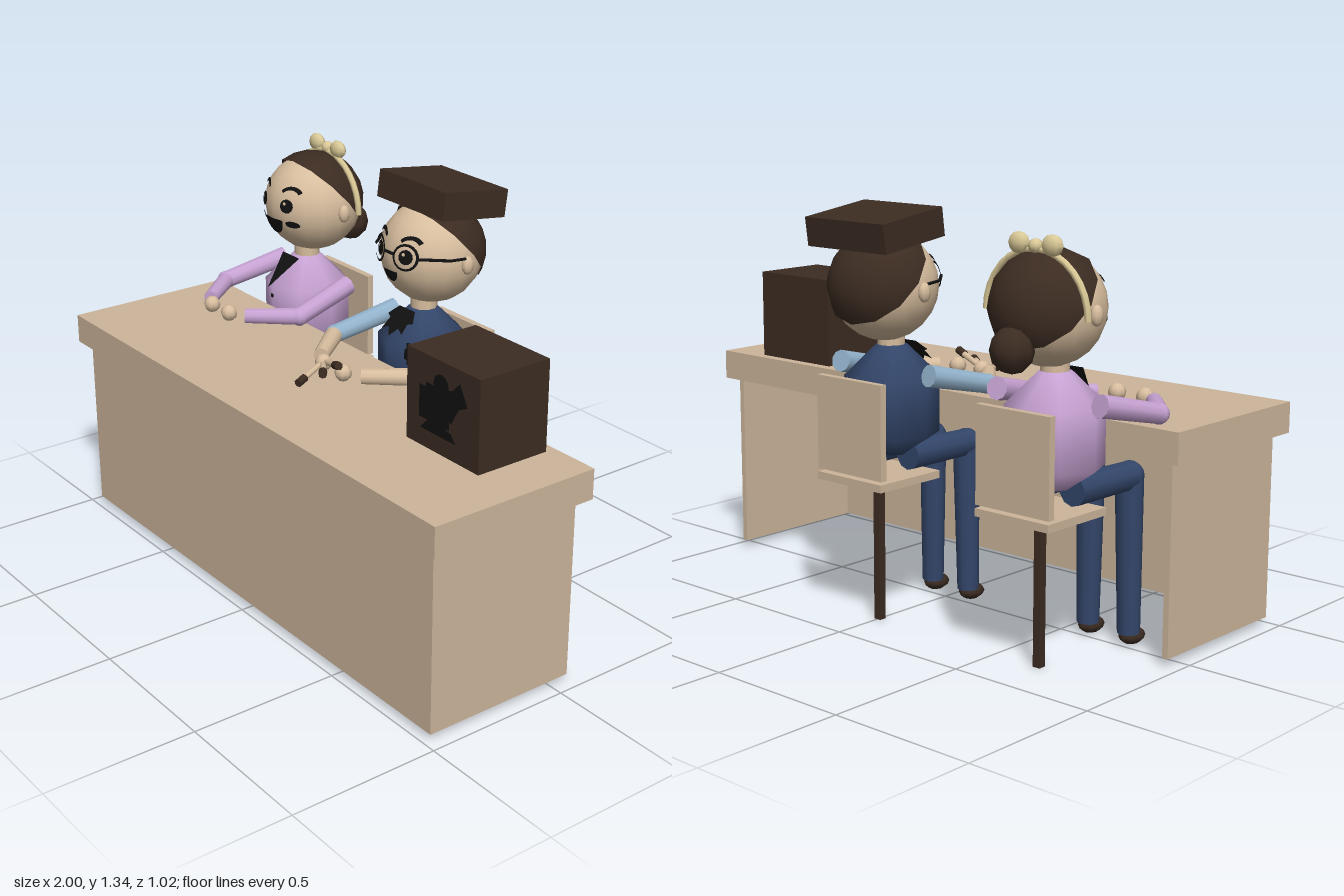
import * as THREE from 'three';

const mat = (name, color, side = THREE.FrontSide) => new THREE.MeshStandardMaterial({ name, color, side });
const wood = mat('wood', 0xcdb69b);
const skin = mat('skin', 0xd8be9f);
const brown = mat('darkBrown', 0x3c2c22, THREE.DoubleSide);
const navy = mat('navy', 0x33466a);
const blue = mat('lightBlue', 0x93b3cc);
const lavender = mat('lavender', 0xc6a2d2);
const yellow = mat('paleYellow', 0xdccb98);
const black = mat('black', 0x111111, THREE.DoubleSide);

const V = (x, y, z) => new THREE.Vector3(x, y, z);
const HEAD = V(0, 1.09, -0.285), HEAD_R = 0.173;

function add(parent, name, geometry, material, x = 0, y = 0, z = 0) {
  const m = new THREE.Mesh(geometry, material);
  m.name = name;
  m.position.set(x, y, z);
  parent.add(m);
  return m;
}

// box given by its limits on each axis
function block(parent, name, material, [x0, x1], [y0, y1], [z0, z1]) {
  return add(parent, name, new THREE.BoxGeometry(x1 - x0, y1 - y0, z1 - z0), material,
    (x0 + x1) / 2, (y0 + y1) / 2, (z0 + z1) / 2);
}

// cylinder between two points
function rod(parent, name, material, a, b, r0, r1 = r0, sides = 10) {
  const m = add(parent, name, new THREE.CylinderGeometry(r1, r0, a.distanceTo(b), sides), material);
  m.position.copy(a).lerp(b, 0.5);
  m.quaternion.setFromUnitVectors(V(0, 1, 0), b.clone().sub(a).normalize());
  return m;
}

function ball(parent, name, material, p, r, scale = [1, 1, 1], w = 10, h = 8) {
  const m = add(parent, name, new THREE.SphereGeometry(r, w, h), material, p.x, p.y, p.z);
  m.scale.set(...scale);
  return m;
}

// flat geometry wrapped onto the front of the head
function faceMark(parent, name, geometry, material, x, y, lift = 0.005, sx = 1, sy = 1) {
  geometry.scale(sx, sy, 1).translate(x, y, 0);
  const p = geometry.attributes.position, R = HEAD_R + lift;
  for (let i = 0; i < p.count; i++) {
    p.setZ(i, Math.sqrt(Math.max(0, R * R - p.getX(i) ** 2 - p.getY(i) ** 2)));
  }
  geometry.computeVertexNormals();
  return add(parent, name, geometry, material, HEAD.x, HEAD.y, HEAD.z);
}

const polygon = (pts) => new THREE.ShapeGeometry(new THREE.Shape(pts.map(([x, y]) => new THREE.Vector2(x, y))));

function desk() {
  const g = new THREE.Group();
  g.name = 'desk';
  block(g, 'deskTop', wood, [-1, 1], [0.635, 0.735], [-0.09, 0.51]);
  block(g, 'frontPanel', wood, [-0.96, 0.96], [0.025, 0.635], [0.46, 0.48]);
  for (const s of [-1, 1]) {
    block(g, 'sidePanel', wood, s < 0 ? [-0.96, -0.94] : [0.94, 0.96], [0.025, 0.635], [-0.06, 0.46]);
  }
  return g;
}

// box with a film camera pictogram on its front
function cameraBox() {
  const g = new THREE.Group();
  g.name = 'cameraBox';
  block(g, 'box', brown, [0.497, 0.83], [0.735, 1.035], [-0.055, 0.21]);
  const mark = (name, geo, x = 0, y = 0) => add(g, name, geo, black, x, y, 0.214);
  mark('cameraBody', polygon([[0.56, 0.83], [0.7, 0.83], [0.7, 0.95], [0.59, 0.95], [0.59, 0.935], [0.56, 0.935]]));
  mark('cameraReel', new THREE.CircleGeometry(0.035, 12), 0.66, 0.96);
  mark('cameraLens', polygon([[0.66, 0.87], [0.71, 0.855], [0.74, 0.91], [0.78, 0.93], [0.745, 0.995], [0.71, 0.96], [0.66, 0.95]]));
  mark('cameraStand', polygon([[0.565, 0.795], [0.73, 0.795], [0.71, 0.82], [0.68, 0.83], [0.6, 0.83]]));
  return g;
}

function chair() {
  const g = new THREE.Group();
  g.name = 'chair';
  block(g, 'seat', wood, [-0.14, 0.14], [0.47, 0.495], [-0.45, -0.18]);
  block(g, 'backrest', wood, [-0.14, 0.14], [0.505, 0.81], [-0.448, -0.424]);
  block(g, 'post', brown, [-0.013, 0.013], [0, 0.47], [-0.328, -0.302]);
  return g;
}

// seated body shared by both figures
function figure(name, shirt, sleeve, forearm) {
  const g = new THREE.Group();
  g.name = name;
  g.add(chair());
  const profile = [[0, 0.54], [0.05, 0.545], [0.152, 0.615], [0.152, 0.8], [0.05, 0.9], [0, 0.905]];
  add(g, 'torso', new THREE.LatheGeometry(profile.map(([r, y]) => new THREE.Vector2(r, y)), 8), shirt, 0, 0, -0.253);
  rod(g, 'neck', skin, V(0, 0.88, -0.255), V(0, 0.95, -0.255), 0.045);
  ball(g, 'head', skin, HEAD, HEAD_R, [1, 1, 1], 16, 12);
  const hair = add(g, 'hair', new THREE.SphereGeometry(0.182, 12, 5, 0, Math.PI * 2, 0, 1.35), brown, HEAD.x, HEAD.y, HEAD.z);
  hair.rotation.x = -0.857;
  for (const s of [-1, 1]) {
    ball(g, 'ear', skin, V(s * 0.178, 1.085, -0.29), 0.032, [0.55, 1, 0.7], 8, 6);
    // arms
    const elbow = V(s * 0.232, 0.772, -0.055);
    rod(g, 'upperArm', sleeve, V(s * 0.195, 0.825, -0.29), elbow, 0.036, 0.032);
    ball(g, 'elbow', sleeve, elbow, 0.033);
    rod(g, 'forearm', forearm, elbow, V(s * 0.11, 0.77, 0.09), 0.031, 0.026);
    ball(g, 'hand', skin, V(s * 0.054, 0.772, 0.12), 0.029, [1, 1, 1], 8, 6);
    // legs
    const knee = V(s * 0.075, 0.545, 0.02);
    rod(g, 'thigh', navy, V(s * 0.07, 0.547, -0.255), knee, 0.049, 0.046);
    ball(g, 'knee', navy, knee, 0.046);
    rod(g, 'shin', navy, knee, V(s * 0.08, 0.04, 0.025), 0.045, 0.036);
    ball(g, 'shoe', brown, V(s * 0.08, 0.028, 0.043), 0.047, [0.8, 0.58, 1.05], 8, 6);
    // eyes and brows
    faceMark(g, 'eye', new THREE.CircleGeometry(0.025, 12), black, s * 0.065, 0.025);
    faceMark(g, 'eyeGlint', new THREE.CircleGeometry(0.006, 8), skin, s * 0.065 - 0.006, 0.034, 0.007);
    faceMark(g, 'brow', new THREE.RingGeometry(0.036, 0.048, 10, 1, 0.7, 1.75), black, s * 0.07, 0.045);
  }
  return g;
}

// plate lying on the sloping upper chest
function chestPlate(parent, name, pts) {
  const m = add(parent, name, polygon(pts), black, 0, 0.905, -0.185);
  m.rotation.x = -0.8;
  return m;
}

function lady() {
  const g = figure('seatedLady', lavender, lavender, lavender);
  ball(g, 'hairBun', brown, V(0, 0.985, -0.45), 0.07, [1, 1, 0.9], 8, 6);
  add(g, 'headband', new THREE.TorusGeometry(0.19, 0.011, 6, 16, Math.PI), yellow, 0, 1.075, -0.345);
  // bow
  for (const s of [-1, 1]) {
    ball(g, 'bowLoop', yellow, V(s * 0.062, 1.28, -0.35), 0.036, [1.1, 0.9, 0.6], 8, 6);
  }
  ball(g, 'bowKnot', yellow, V(0, 1.275, -0.35), 0.022, [1, 1, 1], 8, 6);
  // smile and cheeks
  faceMark(g, 'mouth', new THREE.CircleGeometry(0.05, 14, Math.PI, Math.PI), black, 0, -0.03, 0.007, 1, 1.15);
  for (const s of [-1, 1]) {
    faceMark(g, 'cheek', new THREE.CircleGeometry(0.026, 10), black, s * 0.084, -0.04, 0.005, 1, 0.5);
  }
  chestPlate(g, 'collar', [[-0.05, 0], [0, -0.145], [0.05, 0]]);
  ball(g, 'button', black, V(0, 0.77, -0.1), 0.008, [1, 1, 0.5], 8, 6);
  return g;
}

function man() {
  const g = figure('seatedMan', navy, blue, skin);
  const hat = add(g, 'hat', new THREE.BoxGeometry(0.34, 0.093, 0.264), brown, 0, 1.279, -0.325);
  hat.rotation.x = -0.137;
  // glasses
  for (const s of [-1, 1]) {
    faceMark(g, 'glassesRim', new THREE.RingGeometry(0.037, 0.045, 18), black, s * 0.066, 0.025, 0.01);
    rod(g, 'glassesTemple', black, V(s * 0.11, 1.117, -0.14), V(s * 0.178, 1.115, -0.22), 0.005, 0.005, 6);
    rod(g, 'glassesTempleEnd', black, V(s * 0.178, 1.115, -0.22), V(s * 0.18, 1.11, -0.28), 0.005, 0.005, 6);
  }
  rod(g, 'glassesBridge', black, V(-0.024, 1.12, -0.106), V(0.024, 1.12, -0.106), 0.005, 0.005, 6);
  faceMark(g, 'mouth', new THREE.CircleGeometry(0.034, 12, Math.PI, Math.PI), black, 0, -0.033, 0.006, 1, 1.15);
  // neck scarf and chest clip
  chestPlate(g, 'neckScarf', [[-0.04, 0], [0.04, 0], [0.065, -0.04], [0.045, -0.05], [0.05, -0.09],
    [0.02, -0.075], [0, -0.11], [-0.025, -0.08], [-0.05, -0.095], [-0.045, -0.05], [-0.065, -0.04]]);
  block(g, 'chestClip', black, [0.07, 0.115], [0.765, 0.8], [-0.126, -0.118]);
  block(g, 'chestClipPin', black, [0.083, 0.098], [0.75, 0.825], [-0.125, -0.117]);
  // dark-tipped sticks fanned from the hand
  const grip = V(-0.054, 0.775, 0.12);
  for (const tip of [V(0.0, 0.752, 0.26), V(0.052, 0.785, 0.2), V(0.085, 0.815, 0.16)]) {
    const mid = grip.clone().lerp(tip, 0.75);
    rod(g, 'stick', skin, grip, mid, 0.009, 0.011, 8);
    rod(g, 'stickTip', brown, mid, tip, 0.014, 0.014, 8);
  }
  return g;
}

export function createModel() {
  const model = new THREE.Group();
  model.name = 'deskScene';
  const woman = lady();
  woman.position.x = -0.67;
  model.add(desk(), cameraBox(), woman, man());
  return model;
}
